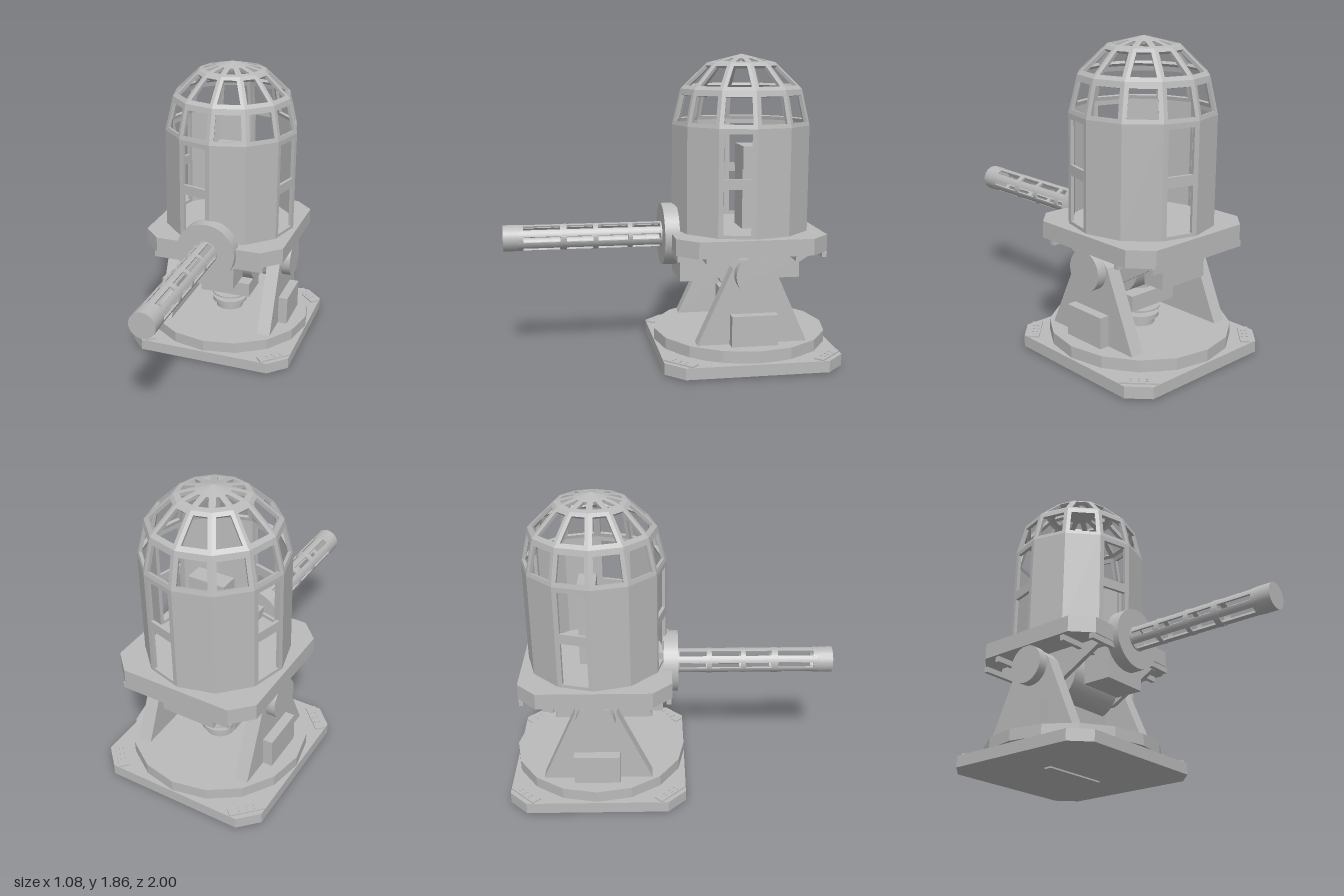
import * as THREE from 'three';

const CZ = -0.457; // z of the turret's vertical axis

export function createModel() {
  const model = new THREE.Group();
  model.name = 'gunTurret';
  const grey = new THREE.MeshStandardMaterial({ color: 0xbababa });
  grey.name = 'grey metal';

  const add = (name, geometry, x = 0, y = 0, z = 0, parent = model) => {
    const mesh = new THREE.Mesh(geometry, grey);
    mesh.name = name;
    mesh.position.set(x, y, z);
    parent.add(mesh);
    return mesh;
  };
  // Box given by its limits on each axis
  const box = (name, x0, x1, y0, y1, z0, z1) =>
    add(name, new THREE.BoxGeometry(x1 - x0, y1 - y0, z1 - z0),
      (x0 + x1) / 2, (y0 + y1) / 2, (z0 + z1) / 2);
  const discY = (name, r, y0, y1, sides = 24) =>
    add(name, new THREE.CylinderGeometry(r, r, y1 - y0, sides), 0, (y0 + y1) / 2, CZ);
  const discX = (name, r, x0, x1, y) => {
    const g = new THREE.CylinderGeometry(r, r, x1 - x0, 28).rotateZ(Math.PI / 2);
    return add(name, g, (x0 + x1) / 2, y, CZ);
  };
  const discZ = (name, r, z0, z1, y, sides = 32) => {
    const g = new THREE.CylinderGeometry(r, r, z1 - z0, sides).rotateX(Math.PI / 2);
    return add(name, g, 0, y, (z0 + z1) / 2);
  };
  const polygon = points => new THREE.Shape(points.map(p => new THREE.Vector2(...p)));
  const extrude = (shape, depth, curveSegments = 8) =>
    new THREE.ExtrudeGeometry(shape, { depth, bevelEnabled: false, curveSegments });
  // Square slab with cut corners
  const slab = (name, h, c, y0, y1) => {
    const s = polygon([[-h, -h + c], [-h + c, -h], [h - c, -h], [h, -h + c],
      [h, h - c], [h - c, h], [-h + c, h], [-h, h - c]]);
    return add(name, extrude(s, y1 - y0).rotateX(-Math.PI / 2), 0, y0, CZ);
  };
  // Plate drawn in the side plane (z, y), thickness running along x
  const sidePlate = (name, points, x0, x1) => {
    const s = polygon(points.map(([z, y]) => [-z, y]));
    return add(name, extrude(s, x1 - x0).rotateY(Math.PI / 2), x0, 0, CZ);
  };

  // Base
  box('baseKey', -0.22, 0.22, 0, 0.012, CZ - 0.025, CZ + 0.025);
  slab('basePlate', 0.54, 0.11, 0.01, 0.08);
  discY('baseBearing', 0.515, 0.08, 0.09, 32);
  const ring = discY('turntable', 0.54, 0.09, 0.16, 16);
  ring.geometry = ring.geometry.toNonIndexed();
  ring.geometry.computeVertexNormals();
  for (let i = 0; i < 4; i++) {
    const corner = new THREE.Group();
    corner.name = 'cornerPad';
    corner.position.set(0, 0, CZ);
    corner.rotation.y = Math.PI / 4 + i * Math.PI / 2;
    model.add(corner);
    add('padPlate', new THREE.BoxGeometry(0.21, 0.008, 0.062), 0, 0.084, 0.627, corner);
    for (let j = 0; j < 6; j++) {
      add('padBolt', new THREE.CylinderGeometry(0.006, 0.006, 0.006, 8),
        (j % 3 - 1) * 0.045, 0.09, 0.627 + (j < 3 ? -0.012 : 0.012), corner);
    }
  }

  // Central slip-ring column
  discY('columnFoot', 0.09, 0.16, 0.205);
  discY('lowerFlange', 0.115, 0.205, 0.23);
  discY('columnShaft', 0.06, 0.23, 0.42);
  discY('upperFlange', 0.12, 0.26, 0.27);
  box('driveBox', -0.17, 0.17, 0.295, 0.39, CZ - 0.11, CZ + 0.11);

  // Cradle arms, trunnions and gussets on both sides
  for (const s of [-1, 1]) {
    const span = (a, b) => (s > 0 ? [a, b] : [-b, -a]);
    sidePlate('cradleArm', [[-0.33, 0.16], [0.335, 0.16], [0.125, 0.62], [0.08, 0.665],
      [-0.08, 0.665], [-0.125, 0.62]], ...span(0.3, 0.385));
    discX('trunnionCap', 0.118, ...span(0.385, 0.445), 0.585);
    box('armFoot', ...span(0.385, 0.445), 0.16, 0.345, CZ - 0.14, CZ + 0.14);
    discX('trunnionShaft', 0.07, ...span(0.18, 0.39), 0.585);
    sidePlate('gusset', [[-0.38, 0.7], [-0.38, 0.665], [-0.1, 0.49], [0.1, 0.49],
      [0.42, 0.665], [0.42, 0.7]], ...span(0.245, 0.275));
  }
  discX('elevationDrum', 0.18, -0.2, 0.2, 0.585);
  box('frontEquipmentBox', -0.155, 0.155, 0.495, 0.7, -0.245, -0.055);
  box('rearEquipmentBox', -0.17, 0.17, 0.5, 0.7, -0.8, -0.66);

  // Platform with ribs underneath
  slab('platform', 0.457, 0.115, 0.7, 0.8);
  for (const z of [-0.02, -0.175, -0.45, -0.71, -0.895]) {
    const w = Math.abs(z - CZ) > 0.4 ? 0.36 : 0.44;
    box('platformRib', -w, w, 0.665, 0.7, z - 0.014, z + 0.014);
  }

  // One facet of the twelve-sided cabin, with openings [from, to, side inset]
  const half = Math.PI / 12;
  const facet = (name, angle, r0, y0, r1, y1, holes) => {
    const a0 = r0 * Math.cos(half), a1 = r1 * Math.cos(half);
    const w0 = r0 * Math.sin(half), w1 = r1 * Math.sin(half);
    const len = Math.hypot(a1 - a0, y1 - y0);
    const width = v => w0 + (w1 - w0) * v / len;
    const shape = polygon(w1 > 0 ? [[-w0, 0], [w0, 0], [w1, len], [-w1, len]]
      : [[-w0, 0], [w0, 0], [0, len]]);
    for (const [b, t, inset] of holes) {
      const wb = width(b) - inset, wt = width(t) - inset;
      shape.holes.push(polygon([[-wb, b], [-wt, t], [wt, t], [wb, b]]));
    }
    const out = new THREE.Vector3(Math.sin(angle), 0, Math.cos(angle));
    const side = new THREE.Vector3(Math.cos(angle), 0, -Math.sin(angle));
    const up = out.clone().multiplyScalar((a1 - a0) / len);
    up.y = (y1 - y0) / len;
    const normal = side.clone().cross(up);
    const frame = new THREE.Matrix4().makeBasis(side, up, normal)
      .setPosition(out.x * a0, y0, out.z * a0);
    add(name, extrude(shape, 0.02).translate(0, 0, -0.02).applyMatrix4(frame), 0, 0, CZ);
  };
  for (let i = 0; i < 12; i++) {
    const angle = (2 * i - 1) * half;
    const windows = i % 3 === 0 ? [[0.02, 0.29, 0.03], [0.35, 0.61, 0.03]] : [];
    facet('cabinWall', angle, 0.428, 0.8, 0.428, 1.44, windows);
    facet('lowerDomeFrame', angle, 0.428, 1.44, 0.377, 1.655, [[0.025, 0.185, 0.025]]);
    facet('upperDomeFrame', angle, 0.377, 1.655, 0.214, 1.81, [[0.03, 0.195, 0.022]]);
    facet('domeCap', angle, 0.214, 1.81, 0, 1.862, [[0.033, 0.11, 0.019]]);
  }

  // Cabin interior
  box('seatColumn', -0.1, 0.1, 0.8, 1.2, -0.56, -0.45);
  box('seatHead', -0.115, 0.115, 1.17, 1.31, -0.56, -0.45);
  box('gunBreech', -0.08, 0.08, 0.8, 0.86, -0.2, -0.05);

  // Gun mount and slotted barrel jacket
  const GY = 0.765, R = 0.08, INNER = 0.066;
  discZ('gunMount', 0.19, -0.05, 0.04, GY);
  discZ('muzzle', R, 0.91, 1, GY, 18);
  const sector = (a0, a1) => {
    const s = new THREE.Shape();
    s.absarc(0, 0, R - 0.003, a0, a1, false);
    s.absarc(0, 0, INNER, a1, a0, true);
    return s;
  };
  for (let i = 0; i < 6; i++) {
    const mid = (i + 0.5) * Math.PI / 3;
    add('jacketStave', extrude(sector(mid - 0.29, mid + 0.29), 0.88, 3), 0, GY, 0.035);
  }
  const band = new THREE.Shape().absarc(0, 0, R - 0.002, 0, Math.PI * 2, false);
  band.holes.push(new THREE.Path().absarc(0, 0, INNER, 0, Math.PI * 2, true));
  for (const [z0, z1] of [[0.035, 0.05], [0.22, 0.25], [0.43, 0.46], [0.62, 0.66], [0.88, 0.915]]) {
    add('jacketBand', extrude(band, z1 - z0, 18), 0, GY, z0);
  }
  return model;
}
